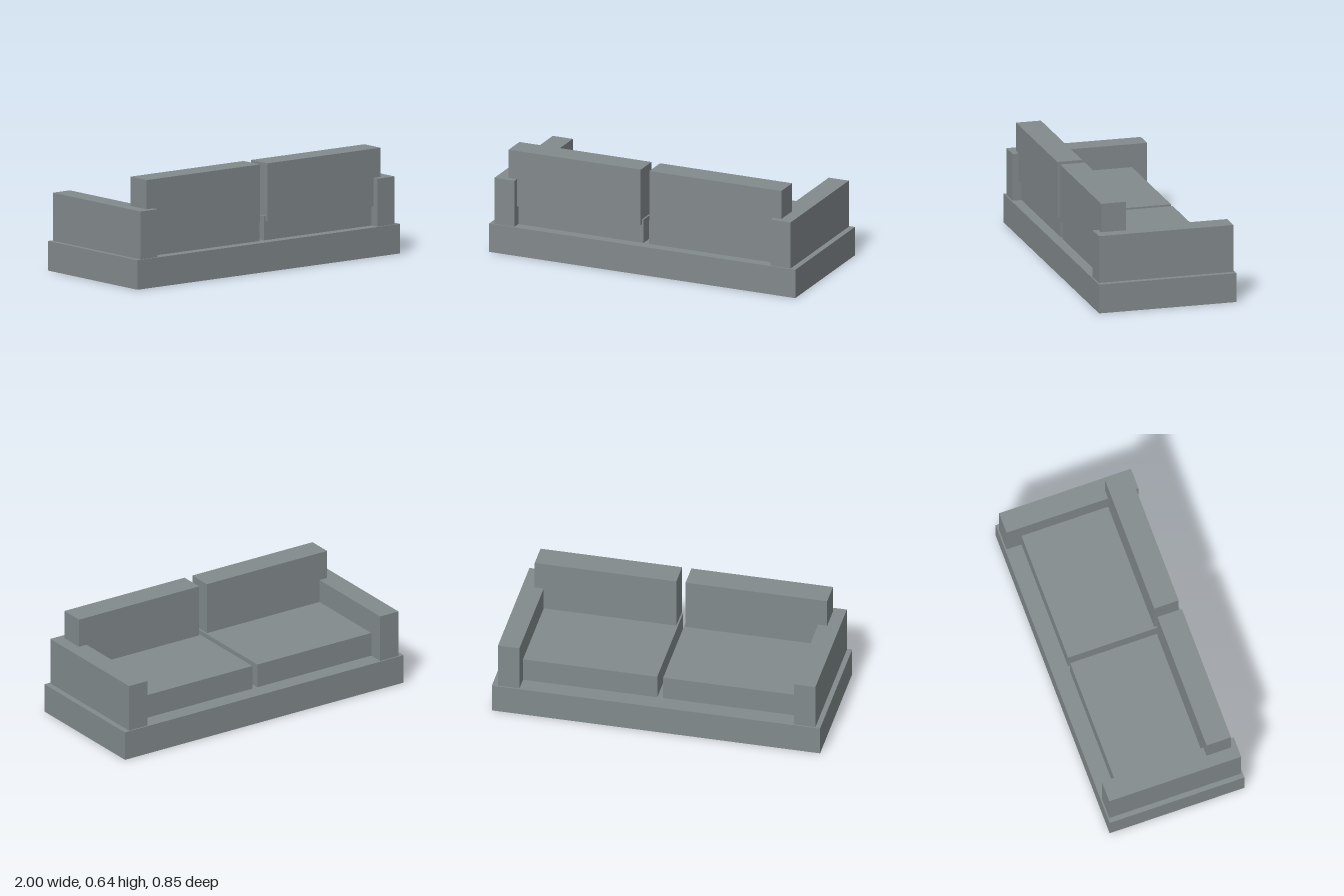
import * as THREE from 'three';

export function createModel() {
  const model = new THREE.Group();
  model.name = 'sofa';
  const fabric = new THREE.MeshStandardMaterial({ color: 0x828a8c });
  fabric.name = 'grey fabric';

  // Box given by its [min, max] extent on each axis
  function block(name, [x0, x1], [y0, y1], [z0, z1]) {
    const mesh = new THREE.Mesh(new THREE.BoxGeometry(x1 - x0, y1 - y0, z1 - z0), fabric);
    mesh.position.set((x0 + x1) / 2, (y0 + y1) / 2, (z0 + z1) / 2);
    mesh.name = name;
    model.add(mesh);
  }

  // Plinth
  block('base', [-1, 1], [0, 0.178], [-0.425, 0.425]);

  // Arms, seat cushions and back cushions, mirrored about a slightly offset centre
  const centre = -0.0025;
  for (const [side, s] of [['left', 1], ['right', -1]]) {
    const span = (a, b) => [centre + s * a, centre + s * b].sort((p, q) => p - q);
    block(side + 'Arm', span(0.836, 0.967), [0.178, 0.467], [-0.416, 0.416]);
    block(side + 'SeatCushion', span(0.018, 0.838), [0.178, 0.325], [-0.322, 0.361]);
    block(side + 'BackCushion', span(0.028, 0.891), [0.295, 0.643], [0.225, 0.379]);
  }
  return model;
}
